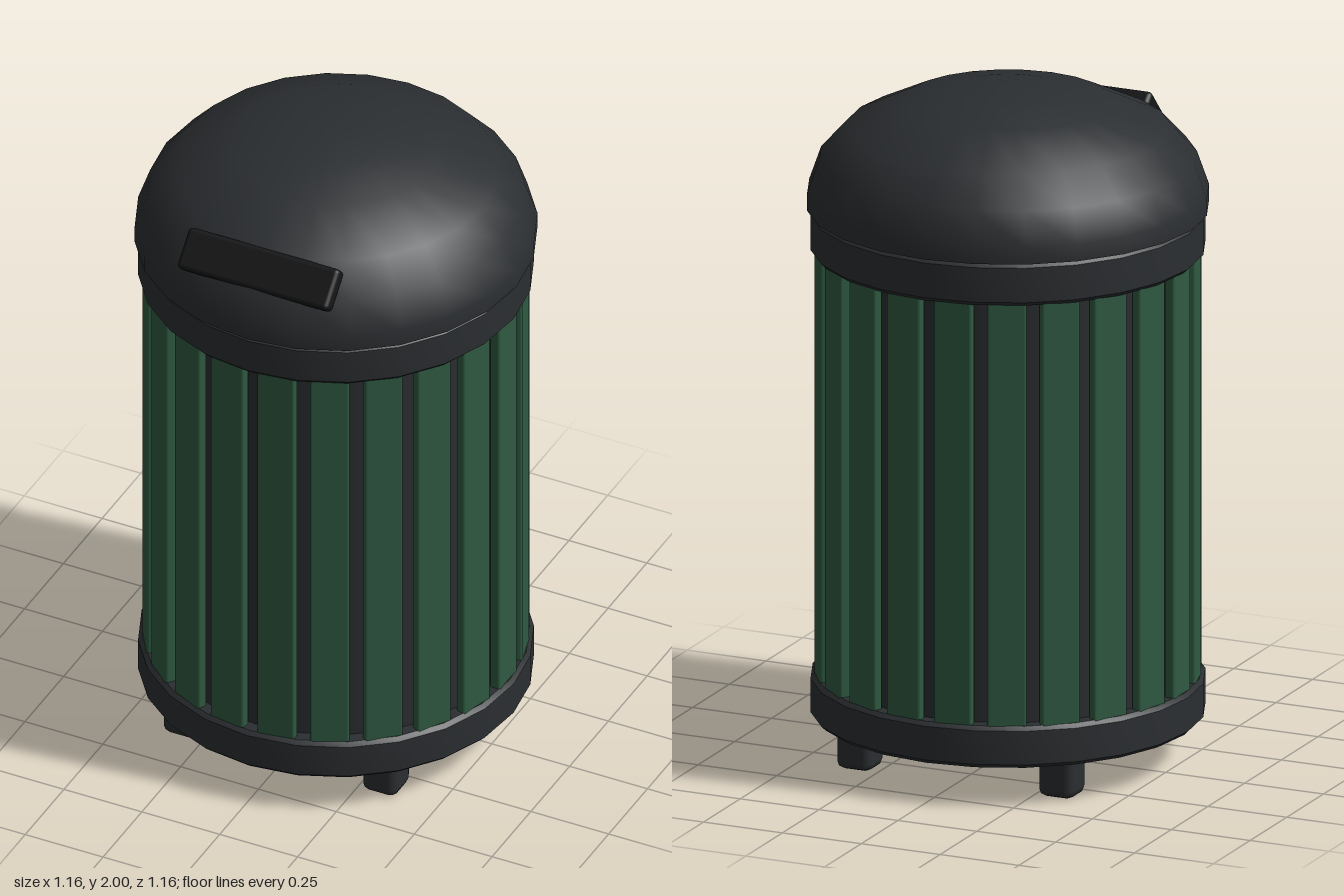
import * as THREE from 'three';
import { RoundedBoxGeometry } from 'three/addons/geometries/RoundedBoxGeometry.js';
import { toCreasedNormals } from 'three/addons/utils/BufferGeometryUtils.js';

const SIDES = 24;
const SLATS = 22;

const paint = (color) => new THREE.MeshStandardMaterial({ color });
const darkGrey = paint(0x2b2e31);
const nearBlack = paint(0x151617);
const green = paint(0x2f5a42);

function addMesh(parent, name, geometry, material, x = 0, y = 0, z = 0) {
  const mesh = new THREE.Mesh(geometry, material);
  mesh.name = name;
  mesh.position.set(x, y, z);
  parent.add(mesh);
  return mesh;
}

// Turned part from [radius, height] pairs, running from bottom to top on the outside
function turned(profile) {
  const points = profile.map(([r, y]) => new THREE.Vector2(r, y));
  return toCreasedNormals(new THREE.LatheGeometry(points, SIDES), 0.6);
}

// Closed hoop with small bevels on its outer edges
function hoop(inner, outer, y0, y1) {
  const b = 0.012;
  return turned([
    [inner, y1], [inner, y0], [outer - b, y0], [outer, y0 + b],
    [outer, y1 - b], [outer - b, y1], [inner, y1],
  ]);
}

export function createModel() {
  const model = new THREE.Group();
  model.name = 'litterBin';

  // Inner barrel and the two hoops that hold the slats
  addMesh(model, 'barrel', new THREE.CylinderGeometry(0.522, 0.522, 1.49, SIDES), darkGrey, 0, 0.875, 0);
  addMesh(model, 'floorPlate', new THREE.CylinderGeometry(0.525, 0.525, 0.03, SIDES), nearBlack, 0, 0.14, 0);
  addMesh(model, 'bottomHoop', hoop(0.515, 0.57, 0.12, 0.245), darkGrey);
  addMesh(model, 'topHoop', hoop(0.5, 0.57, 1.51, 1.638), darkGrey);

  // Ring of vertical slats, with a gap at the front centre
  const slats = new THREE.Group();
  slats.name = 'slats';
  const slatGeometry = new RoundedBoxGeometry(0.114, 1.34, 0.032, 2, 0.008);
  for (let i = 0; i < SLATS; i++) {
    const angle = ((i + 0.5) / SLATS) * Math.PI * 2;
    const slat = addMesh(slats, 'slat', slatGeometry, green,
      Math.sin(angle) * 0.538, 0.877, Math.cos(angle) * 0.538);
    slat.rotation.y = angle;
  }
  model.add(slats);

  // Domed lid with a short upright rim
  addMesh(model, 'lid', turned([
    [0, 1.64], [0.58, 1.64], [0.58, 1.69], [0.545, 1.79],
    [0.466, 1.877], [0.3, 1.957], [0.15, 1.99], [0, 2],
  ]), darkGrey);

  // Flap lying on the slope of the lid, partly sunk into it
  const flap = addMesh(model, 'lidFlap', new RoundedBoxGeometry(0.485, 0.125, 0.05, 2, 0.014),
    nearBlack, 0, 1.825, 0.487);
  flap.rotation.x = -THREE.MathUtils.degToRad(43);

  // Four bevelled feet
  const footGeometry = new RoundedBoxGeometry(0.112, 0.135, 0.112, 1, 0.025);
  for (const x of [-0.32, 0.32]) {
    for (const z of [-0.32, 0.32]) {
      addMesh(model, 'foot', footGeometry, darkGrey, x, 0.0675, z);
    }
  }

  return model;
}
